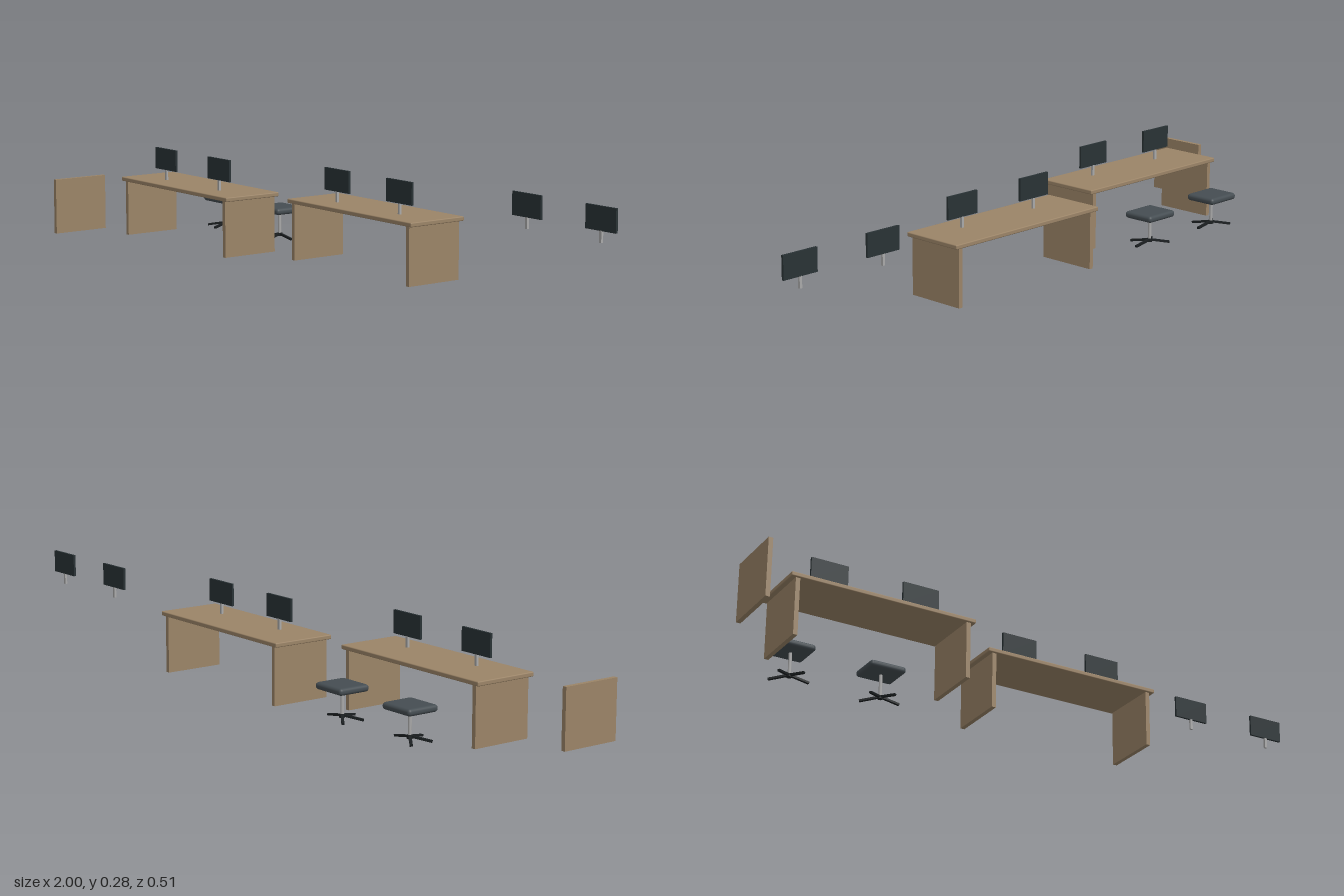
import * as THREE from 'three';
import { RoundedBoxGeometry } from 'three/addons/geometries/RoundedBoxGeometry.js';

const mat = (color) => new THREE.MeshStandardMaterial({ color });

export function createModel() {
  const root = new THREE.Group();
  const wood = mat(0x9b8467), screenMat = mat(0x293235), seatMat = mat(0x454d52);
  const dark = mat(0x1b1f21), grey = mat(0xaaaaaa);

  const add = (parent, name, geometry, material, x, y, z) => {
    const mesh = new THREE.Mesh(geometry, material);
    mesh.name = name;
    mesh.position.set(x, y, z);
    parent.add(mesh);
    return mesh;
  };
  const group = (name, x, z) => {
    const g = new THREE.Group();
    g.name = name;
    g.position.set(x, 0, z);
    root.add(g);
    return g;
  };

  // Desks: a top with softened edges on two side panels
  const topGeo = new RoundedBoxGeometry(0.567, 0.013, 0.194, 2, 0.003);
  const panelGeo = new THREE.BoxGeometry(0.013, 0.171, 0.182);
  for (const [x, z] of [[-0.573, 0], [0.113, -0.135]]) {
    const desk = group('desk', x, z);
    add(desk, 'deskTop', topGeo, wood, 0, 0.1755, 0);
    for (const s of [-1, 1]) add(desk, 'deskSidePanel', panelGeo, wood, s * 0.2625, 0.0855, 0);
  }
  // Lone side panel at the far end
  add(root, 'loneSidePanel', panelGeo, wood, -0.9935, 0.0855, 0.167);

  // Monitors in three pairs, each on a short post
  const screenGeo = new THREE.BoxGeometry(0.113, 0.066, 0.007);
  const standGeo = new THREE.BoxGeometry(0.008, 0.033, 0.007);
  for (const [x, z] of [[-0.5705, 0.024], [0.1155, -0.1125], [0.8015, -0.2265]]) {
    for (const s of [-1, 1]) {
      const monitor = group('monitor', x + s * 0.142, z);
      add(monitor, 'screen', screenGeo, screenMat, 0, 0.246, 0);
      add(monitor, 'monitorStand', standGeo, grey, 0, 0.1975, 0);
    }
  }

  // Stools: padded seat, thin column, sloping splayed feet
  const seatGeo = new RoundedBoxGeometry(0.113, 0.02, 0.1, 3, 0.009);
  const columnGeo = new THREE.CylinderGeometry(0.005, 0.005, 0.078, 12);
  const hubGeo = new THREE.CylinderGeometry(0.008, 0.008, 0.01, 12);
  const footGeo = new THREE.BoxGeometry(0.061, 0.006, 0.008).translate(0.0305, 0, 0);
  for (const x of [-0.714, -0.43]) {
    const stool = group('stool', x, -0.2035);
    add(stool, 'seat', seatGeo, seatMat, 0, 0.1045, 0);
    add(stool, 'column', columnGeo, grey, 0, 0.06, 0);
    add(stool, 'hub', hubGeo, dark, 0, 0.025, 0);
    for (let i = 0; i < 4; i++) {
      const foot = add(stool, 'foot', footGeo, dark, 0, 0.027, 0);
      foot.rotation.set(0, -i * Math.PI * 0.4, -0.17);
    }
  }
  return root;
}
